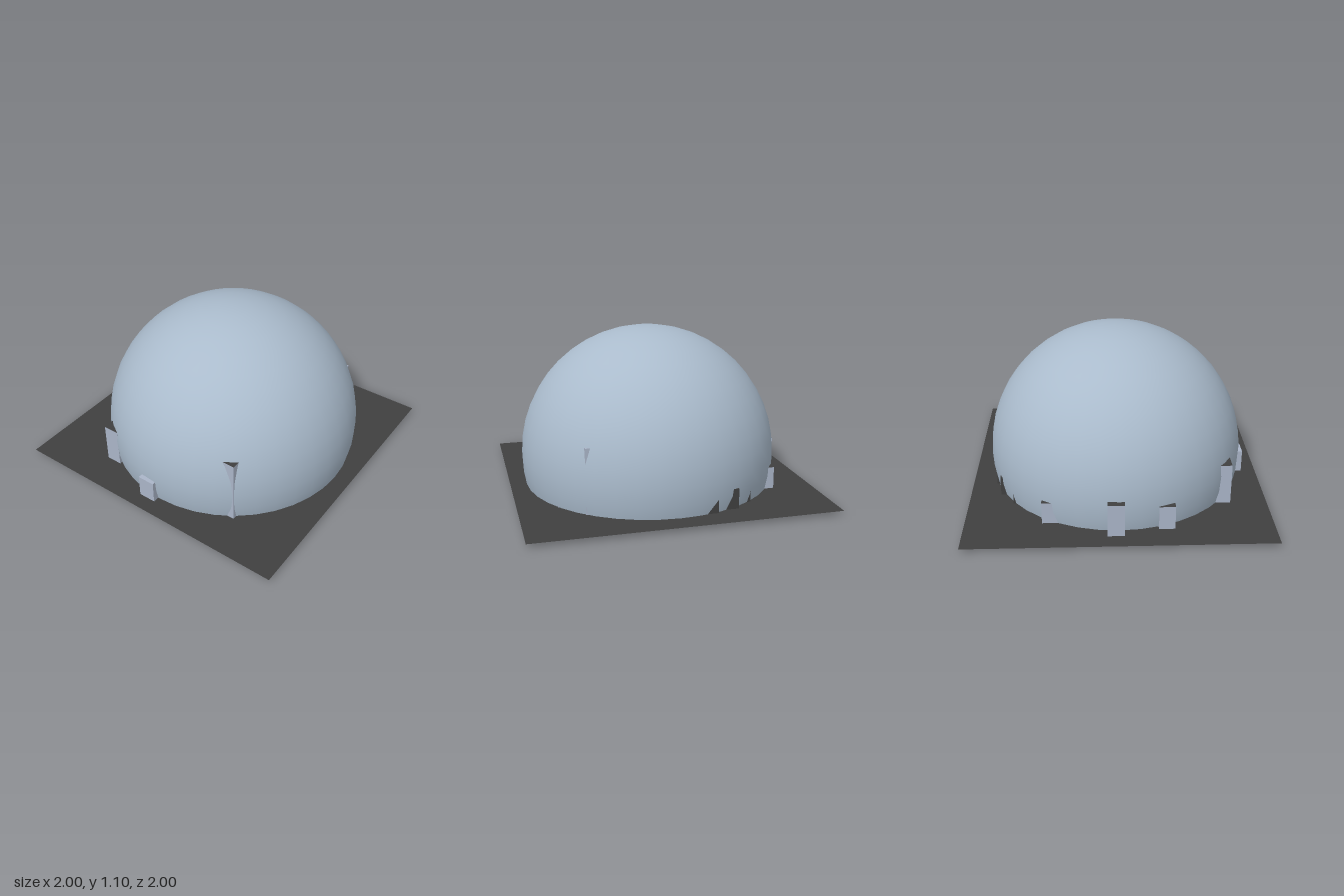
import * as THREE from 'three';

export function createModel() {
  const model = new THREE.Group();
  const shell = new THREE.MeshStandardMaterial({ name: 'dome blue grey', color: 0xaabbcc, side: THREE.DoubleSide });
  const wall = new THREE.MeshStandardMaterial({ name: 'wall grey', color: 0xaab5c8 });
  const dark = new THREE.MeshStandardMaterial({ name: 'charcoal', color: 0x404040, side: THREE.DoubleSide });

  const add = (name, geometry, material, x, y, z) => {
    const mesh = new THREE.Mesh(geometry, material);
    mesh.name = name;
    mesh.position.set(x, y, z);
    model.add(mesh);
    return mesh;
  };

  // Square ground sheet, crossing the dome just above its rim
  const groundY = 0.027;
  add('ground', new THREE.PlaneGeometry(2, 2).rotateX(-Math.PI / 2), dark, 0, groundY, 0);

  // Open dome, cut a little below its equator
  const radius = 0.88, centreY = 0.22;
  const cut = Math.acos(-centreY / radius);
  add('dome', new THREE.SphereGeometry(radius, 40, 14, 0, Math.PI * 2, 0, cut), shell, 0, centreY, 0.03);

  // Buildings poking through the dome: x range, z range, top, style
  const darkRoof = [wall, wall, dark, wall, wall, wall];
  const buildings = [
    [-0.03, 0.08, -0.89, -0.77, 0.25, darkRoof],
    [-0.355, -0.25, -0.82, -0.71, 0.19, darkRoof],
    [0.39, 0.5, -0.73, -0.62, 0.175, darkRoof],
    [-0.755, -0.65, -0.52, -0.41, 0.31, darkRoof],
    [-0.72, -0.61, 0.43, 0.54, 0.485, darkRoof],
    [-0.9, -0.78, -0.1, 0.02, 0.185, wall],
    [0.55, 0.66, 0.48, 0.59, 0.46, wall],
    [0.38, 0.487, 0.63, 0.74, 0.2, wall],
    [0.73, 0.836, -0.22, -0.11, 0.13, dark],
    [0.69, 0.795, -0.37, -0.26, 0.16, dark],
    [0.6, 0.702, -0.485, -0.38, 0.13, dark],
  ];
  for (const [x0, x1, z0, z1, top, material] of buildings) {
    const geometry = new THREE.BoxGeometry(x1 - x0, top - groundY, z1 - z0);
    add('building', geometry, material, (x0 + x1) / 2, (top + groundY) / 2, (z0 + z1) / 2);
  }
  return model;
}
